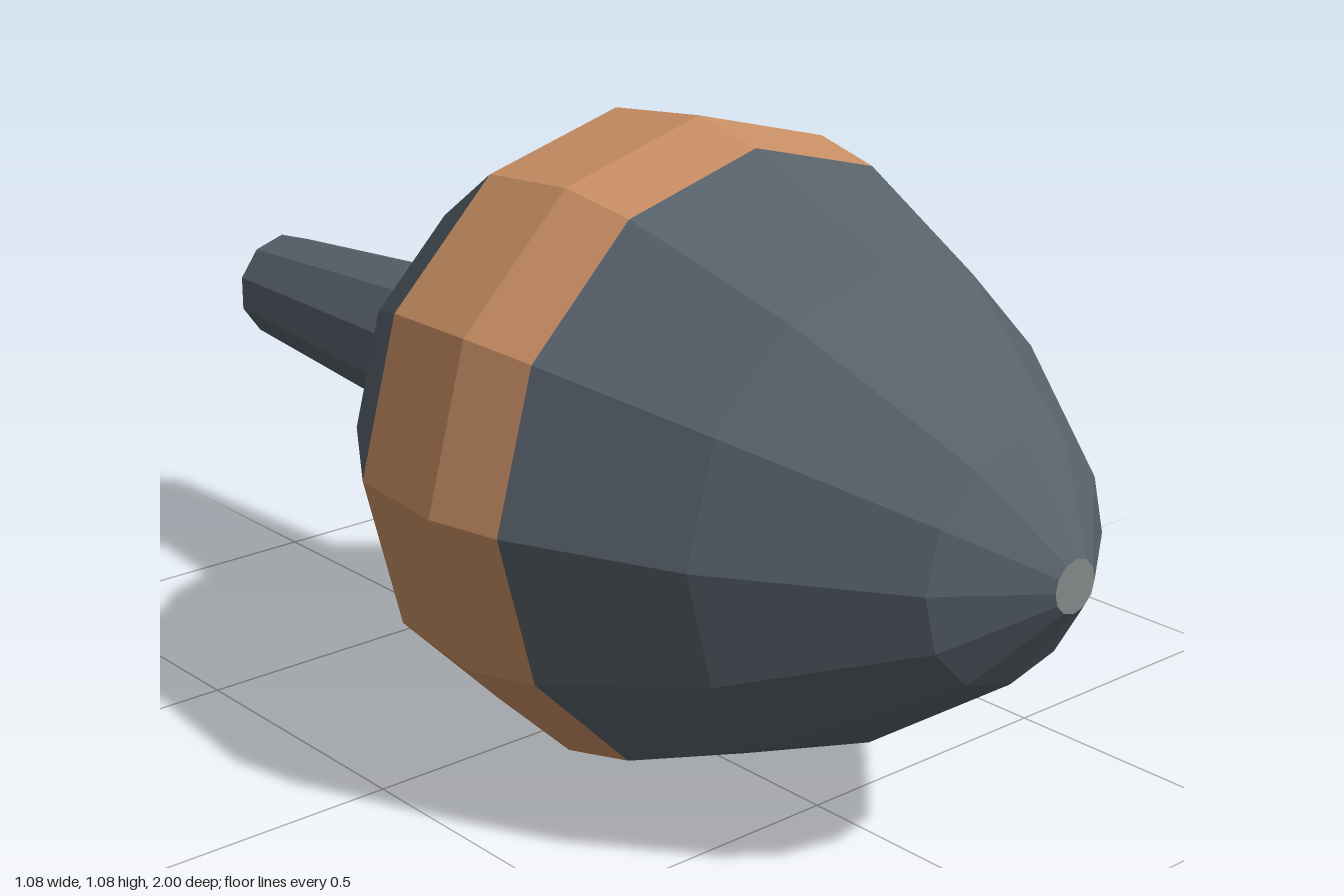
import * as THREE from 'three';

const material = (name, color) => {
  const m = new THREE.MeshStandardMaterial({ color, flatShading: true });
  m.name = name;
  return m;
};

export function createModel() {
  const model = new THREE.Group();
  model.name = 'bandedBulb';
  const slate = material('slate', 0x57616a);
  const copper = material('copper', 0xc98f64);
  const grey = material('grey', 0x848787);

  // Faceted ring section; profile is [radius, z] from back to front
  const turn = (name, profile, sides, mat) => {
    const points = profile.map(([r, z]) => new THREE.Vector2(r, z));
    const geometry = new THREE.LatheGeometry(points, sides);
    geometry.rotateX(Math.PI / 2);
    const mesh = new THREE.Mesh(geometry, mat);
    mesh.name = name;
    mesh.position.y = 0.541;
    model.add(mesh);
  };

  // Bulb body with a painted band around the widest part
  turn('rearBody', [[0, -0.45], [0.14, -0.45], [0.38, -0.215], [0.52, 0]], 12, slate);
  turn('band', [[0.52, 0], [0.541, 0.2], [0.512, 0.33]], 12, copper);
  turn('noseBody', [[0.512, 0.33], [0.388, 0.61], [0.19, 0.89], [0.042, 1]], 12, slate);
  turn('noseTip', [[0.042, 1], [0, 1]], 12, grey);

  // Tapered stem and its end face
  turn('stem', [[0.1, -1], [0.143, -0.45]], 10, slate);
  turn('stemEnd', [[0, -1], [0.1, -1]], 10, grey);

  return model;
}
